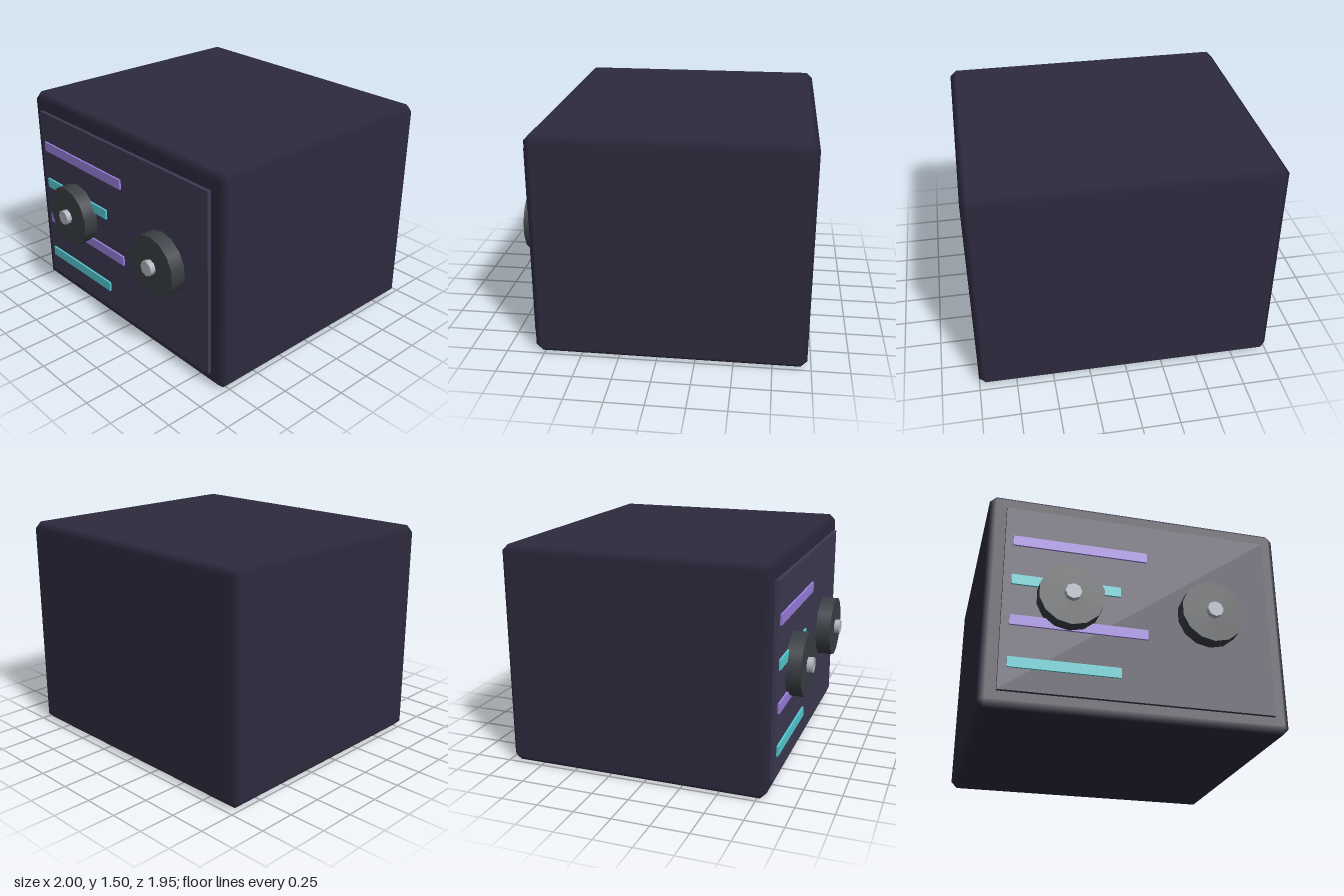
import * as THREE from 'three';
import { ConvexGeometry } from 'three/addons/geometries/ConvexGeometry.js';

const mat = (color) => new THREE.MeshStandardMaterial({ color });

function addMesh(parent, name, geometry, material, x, y, z) {
  const mesh = new THREE.Mesh(geometry, material);
  mesh.name = name;
  mesh.position.set(x, y, z);
  parent.add(mesh);
  return mesh;
}

// Box with single-step chamfers; flat faces, shading blended across the chamfers
function chamferBox(w, h, d, c) {
  const half = [w / 2, h / 2, d / 2];
  const points = [];
  for (let axis = 0; axis < 3; axis++)
    for (const sx of [-1, 1]) for (const sy of [-1, 1]) for (const sz of [-1, 1]) {
      const p = [sx, sy, sz].map((s, i) => s * (half[i] - (i === axis ? 0 : c)));
      points.push(new THREE.Vector3(...p));
    }
  const geometry = new ConvexGeometry(points);
  const pos = geometry.attributes.position;
  const normal = geometry.attributes.normal;
  // Each vertex touches exactly one main face and takes that face's normal
  for (let i = 0; i < pos.count; i++) {
    const p = [pos.getX(i), pos.getY(i), pos.getZ(i)];
    normal.setXYZ(i, ...p.map((v, k) => (half[k] - Math.abs(v) < c / 2 ? Math.sign(v) : 0)));
  }
  return geometry;
}

export function createModel() {
  const model = new THREE.Group();
  model.name = 'controlBox';

  // Housing and raised front panel
  addMesh(model, 'housing', chamferBox(2, 1.5, 1.785, 0.043), mat(0x2d2a3e), 0, 0.75, -0.082);
  addMesh(model, 'frontPanel', new THREE.BoxGeometry(1.78, 1.285, 0.06), mat(0x3d3a52), 0, 0.742, 0.805);

  // Alternating long and short stripes, aligned at one end
  const stripeMats = [mat(0x9b7fe0), mat(0x55ccd4)];
  for (let i = 0; i < 4; i++) {
    const width = i % 2 ? 0.71 : 0.888;
    addMesh(model, 'stripe' + (i + 1), new THREE.BoxGeometry(width, 0.068, 0.03),
      stripeMats[i % 2], -0.839 + width / 2, 1.135 - i * 0.285, 0.833);
  }

  // Two dials, each with a small spindle
  const dialMat = mat(0x3a3f44);
  const spindleMat = mat(0xb0b5c0);
  for (const [side, x] of [['right', -0.465], ['left', 0.465]]) {
    const dial = new THREE.Group();
    dial.name = side + 'Dial';
    dial.position.set(x, 0.744, 0.825);
    dial.rotation.x = Math.PI / 2;
    addMesh(dial, side + 'Knob', new THREE.CylinderGeometry(0.213, 0.213, 0.112, 14), dialMat, 0, 0.056, 0);
    addMesh(dial, side + 'Spindle', new THREE.CylinderGeometry(0.053, 0.053, 0.1, 8), spindleMat, 0, 0.1, 0);
    model.add(dial);
  }
  return model;
}
